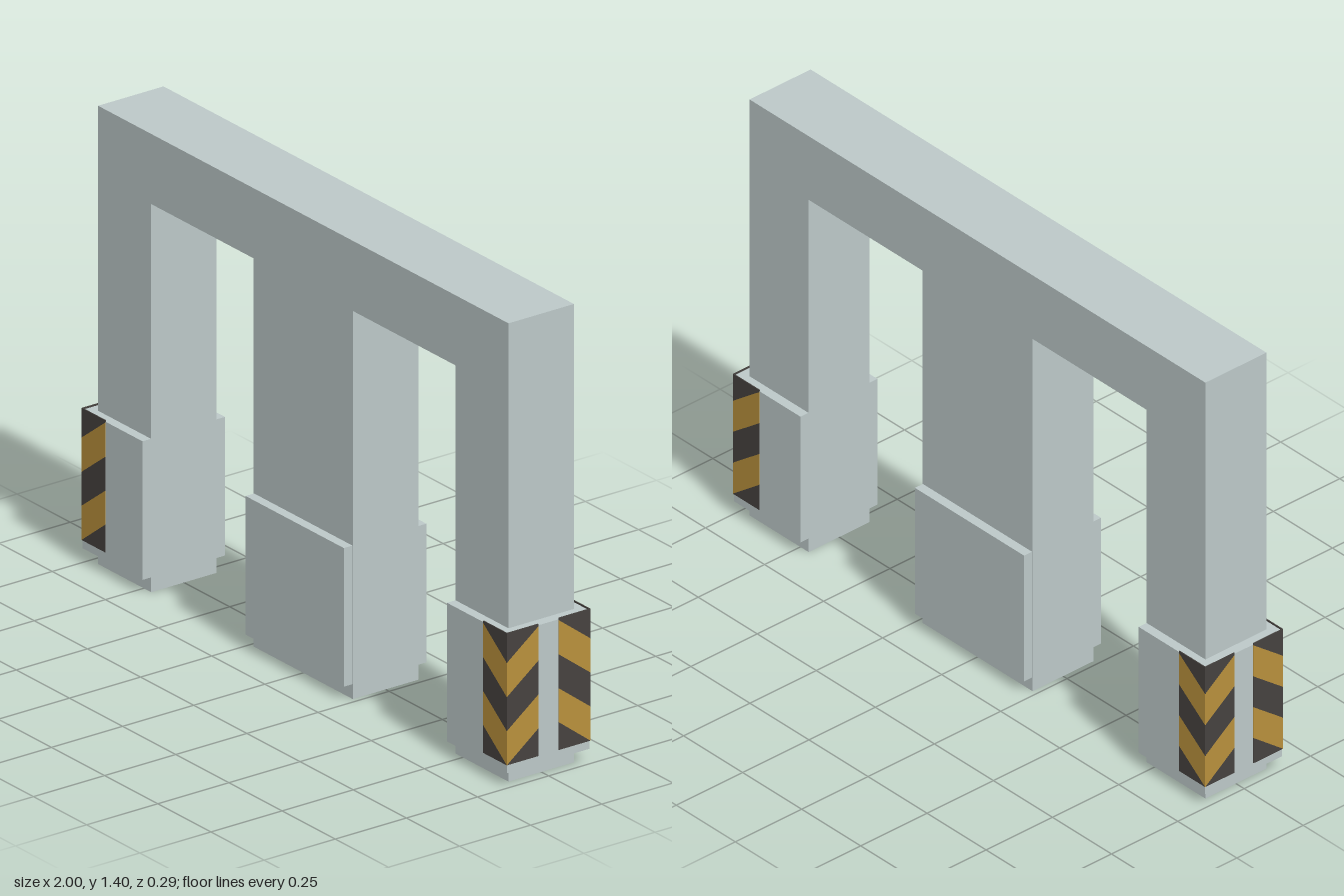
import * as THREE from 'three';

const grey = new THREE.MeshStandardMaterial({ name: 'concrete grey', color: 0xbcc8c8 });
const yellow = new THREE.MeshStandardMaterial({ name: 'warning yellow', color: 0xb8903c });
const dark = new THREE.MeshStandardMaterial({ name: 'warning black', color: 0x46423f });

function polygon(points) {
  return new THREE.Shape(points.map(([x, y]) => new THREE.Vector2(x, y)));
}

function addMesh(parent, name, geometry, material) {
  const mesh = new THREE.Mesh(geometry, material);
  mesh.name = name;
  parent.add(mesh);
  return mesh;
}

// A mirrored pair of hazard strips on one face, their bands sloping down to the outer edges
function hazardFace(name, inner, surface, angle) {
  const group = new THREE.Group();
  group.name = name;
  const width = 0.111, plate = 0.003;
  const innerY = [0.475, 0.468, 0.363, 0.259, 0.155, 0.07];
  const outerY = [0.475, 0.384, 0.279, 0.175, 0.07, 0.07];
  for (const side of [-1, 1]) {
    const a = side * inner, b = side * (inner + width);
    for (let i = 0; i < 5; i++) {
      const corners = [[a, innerY[i]], [b, outerY[i]]];
      if (i < 4) corners.push([b, outerY[i + 1]]);
      corners.push([a, innerY[i + 1]]);
      // the top band has a common straight upper edge
      const geometry = new THREE.ExtrudeGeometry(polygon(corners), { depth: plate, bevelEnabled: false });
      geometry.translate(0, 0, surface - plate + 0.002);
      addMesh(group, 'hazardBand', geometry, i % 2 ? yellow : dark);
    }
  }
  group.rotation.y = angle;
  return group;
}

export function createModel() {
  const model = new THREE.Group();
  model.name = 'doubleGateway';

  // Three-legged frame
  const depth = 0.23;
  const outline = [
    [-0.965, 0], [-0.715, 0], [-0.715, 1.19], [-0.233, 1.19], [-0.233, 0], [0.233, 0],
    [0.233, 1.19], [0.715, 1.19], [0.715, 0], [0.965, 0], [0.965, 1.405], [-0.965, 1.405],
  ];
  const frame = new THREE.ExtrudeGeometry(polygon(outline), { depth, bevelEnabled: false });
  frame.translate(0, 0, -depth / 2);
  addMesh(model, 'frame', frame, grey);

  // Protective pads around the legs
  const padHeight = 0.425, padY = 0.045 + padHeight / 2;
  const pads = [['rightPad', -0.857, 0.282], ['middlePad', 0, 0.462], ['leftPad', 0.857, 0.282]];
  for (const [name, x, width] of pads) {
    addMesh(model, name, new THREE.BoxGeometry(width, padHeight, 0.29), grey).position.set(x, padY, 0);
  }

  // Hazard strips wrapping the outer corners
  model.add(hazardFace('frontStrips', 0.889, 0.145, 0));
  model.add(hazardFace('backStrips', 0.889, 0.145, Math.PI));
  model.add(hazardFace('leftStrips', 0.036, 0.998, Math.PI / 2));
  model.add(hazardFace('rightStrips', 0.036, 0.998, -Math.PI / 2));

  return model;
}
